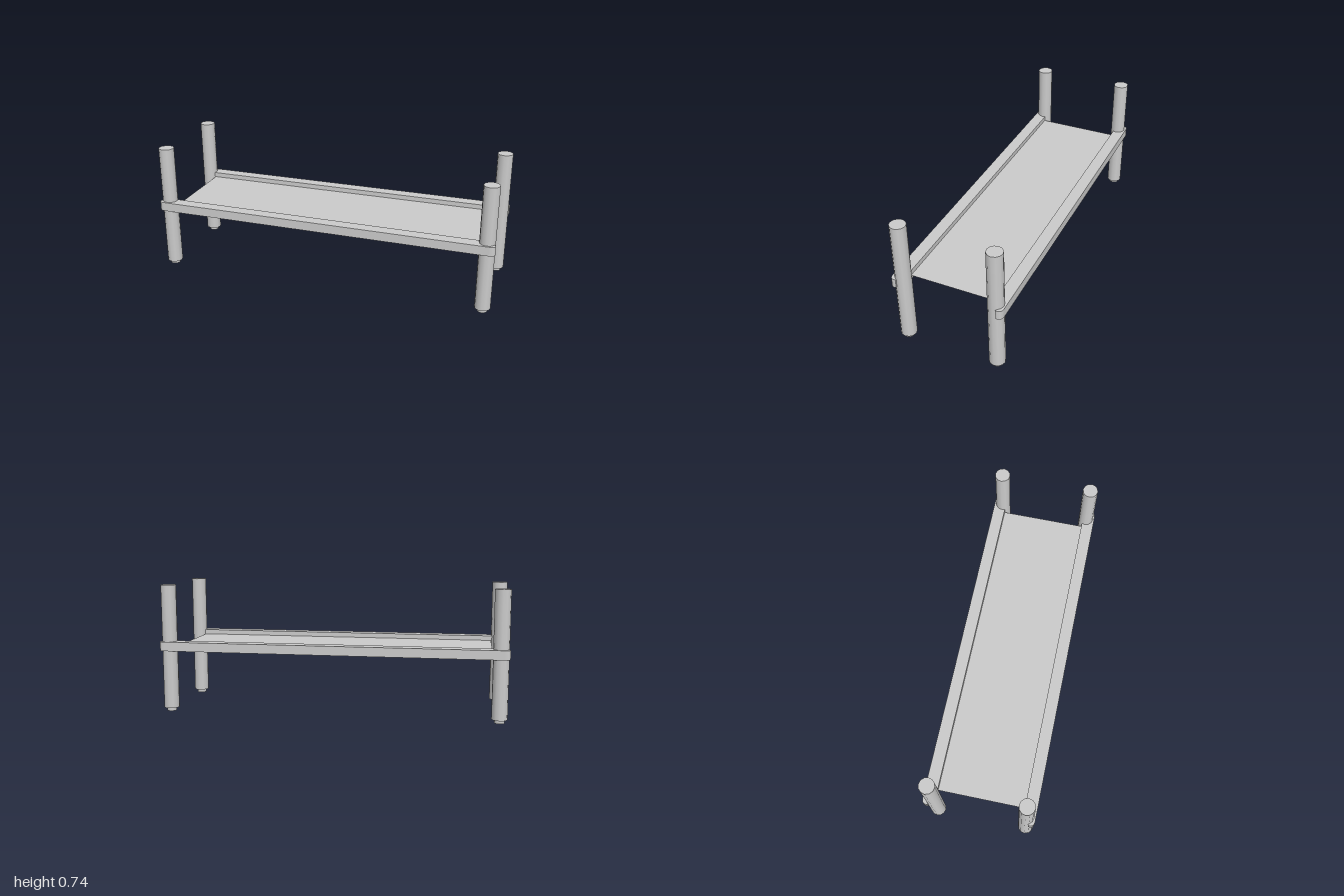
import * as THREE from 'three';

const material = new THREE.MeshStandardMaterial({ color: 0xcccccc });
const sheetMaterial = new THREE.MeshStandardMaterial({ color: 0xcccccc, side: THREE.DoubleSide });

function part(name, geometry, x, y, z, mat = material) {
  const mesh = new THREE.Mesh(geometry, mat);
  mesh.name = name;
  mesh.position.set(x, y, z);
  return mesh;
}

// Rail outline seen from above: straight inner edge, rounded outer ends that wrap the posts
function railGeometry(side) {
  const outline = new THREE.Shape();
  outline.moveTo(-0.93, 0.248);
  outline.lineTo(0.93, 0.248);
  outline.lineTo(0.985, 0.284);
  outline.lineTo(0.998, 0.284);
  outline.quadraticCurveTo(1.004, 0.317, 0.97, 0.319);
  outline.lineTo(-0.97, 0.319);
  outline.quadraticCurveTo(-1.004, 0.317, -0.998, 0.284);
  outline.lineTo(-0.985, 0.284);
  outline.closePath();
  const geometry = new THREE.ExtrudeGeometry(outline, { depth: 0.053, bevelEnabled: false, curveSegments: 6 });
  // Lay the outline flat, then turn it to its own side
  geometry.rotateX(Math.PI / 2);
  geometry.translate(0, 0.413, 0);
  if (side < 0) geometry.rotateY(Math.PI);
  return geometry;
}

export function createModel() {
  const group = new THREE.Group();
  group.name = 'lowBedFrame';

  // Four round posts, each on a narrower foot
  const postGeometry = new THREE.CylinderGeometry(0.0445, 0.0445, 0.722, 12);
  const footGeometry = new THREE.CylinderGeometry(0.0285, 0.0285, 0.03, 12);
  for (const z of [1, -1]) {
    for (const x of [1, -1]) {
      const name = (z > 0 ? 'front' : 'back') + (x > 0 ? 'Left' : 'Right');
      group.add(part(name + 'Post', postGeometry, x * 0.95, 0.381, z * 0.266));
      group.add(part(name + 'Foot', footGeometry, x * 0.95, 0.015, z * 0.266));
    }
    // Long side rail
    group.add(part(z > 0 ? 'frontRail' : 'backRail', railGeometry(z), 0, 0, 0));
  }

  // Thin sheet stretched between the rails
  const sheet = new THREE.PlaneGeometry(1.81, 0.52).rotateX(-Math.PI / 2);
  group.add(part('deckSheet', sheet, 0, 0.385, 0, sheetMaterial));

  return group;
}
